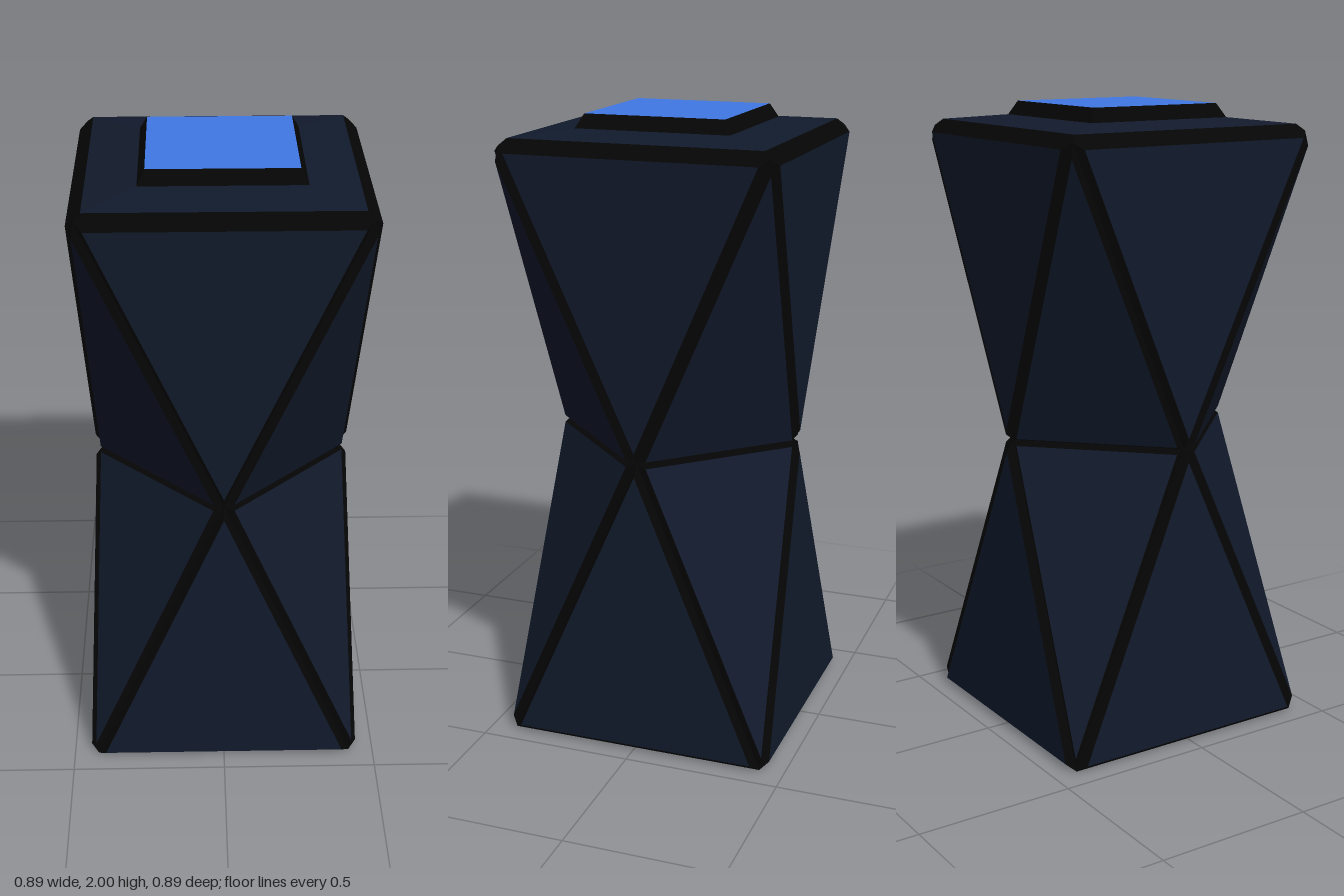
import * as THREE from 'three';

const panelMat = new THREE.MeshStandardMaterial({ color: 0x111a2c, flatShading: true });
const trimMat = new THREE.MeshStandardMaterial({ color: 0x050505, flatShading: true });
const blueMat = new THREE.MeshStandardMaterial({ color: 0x4077e4 });

const INSET = 0.94; // size of a panel's outer face against its base
const LIFT = 0.025; // height of a panel above the frame

// Four points around the y axis; "turn" is the first angle
const ring = (radius, y, turn) => [0, 1, 2, 3].map((k) => {
  const a = turn + k * Math.PI / 2;
  return new THREE.Vector3(radius * Math.sin(a), y, radius * Math.cos(a));
});

function meshFromTriangles(name, points, mat) {
  const geo = new THREE.BufferGeometry().setFromPoints(points);
  geo.computeVertexNormals();
  const mesh = new THREE.Mesh(geo, mat);
  mesh.name = name;
  return mesh;
}

// Raised triangular panel: a smaller outer face with dark sloping sides
function panel(name, corners) {
  const tri = new THREE.Triangle(...corners);
  const normal = tri.getNormal(new THREE.Vector3());
  const centre = tri.getMidpoint(new THREE.Vector3());
  const outer = corners.map((c) => centre.clone().lerp(c, INSET).addScaledVector(normal, LIFT));
  const sides = [];
  for (let i = 0; i < 3; i++) {
    const j = (i + 1) % 3;
    sides.push(corners[i], corners[j], outer[j], corners[i], outer[j], outer[i]);
  }
  const group = new THREE.Group();
  group.name = name;
  group.add(meshFromTriangles('panelFace', outer, panelMat), meshFromTriangles('panelBevel', sides, trimMat));
  return group;
}

// Open square band with sloping sides, from half-width "bottom" to half-width "top"
function band(name, bottom, top, y0, y1, mat) {
  const geo = new THREE.CylinderGeometry(top * Math.SQRT2, bottom * Math.SQRT2, y1 - y0, 4, 1, true, Math.PI / 4);
  geo.translate(0, (y0 + y1) / 2, 0);
  const mesh = new THREE.Mesh(geo, mat);
  mesh.name = name;
  return mesh;
}

// Flat square facing up or down
function square(name, half, y, facing, mat) {
  const geo = new THREE.PlaneGeometry(half * 2, half * 2);
  geo.rotateX(-facing * Math.PI / 2);
  const mesh = new THREE.Mesh(geo, mat);
  mesh.name = name;
  mesh.position.y = y;
  return mesh;
}

export function createModel() {
  const model = new THREE.Group();
  model.name = 'facetedColumn';
  const base = ring(0.42 * Math.SQRT2, 0, Math.PI / 4);
  const waist = ring(0.385, 0.96, 0);
  const head = ring(0.42 * Math.SQRT2, 1.92, Math.PI / 4);

  // Sixteen panels: one wide and one corner triangle per side, below and above the waist
  for (let k = 0; k < 4; k++) {
    const prev = (k + 3) % 4, next = (k + 1) % 4;
    model.add(
      panel('lowerSidePanel', [base[prev], base[k], waist[k]]),
      panel('lowerCornerPanel', [base[k], waist[next], waist[k]]),
      panel('upperSidePanel', [waist[k], head[k], head[prev]]),
      panel('upperCornerPanel', [waist[k], waist[next], head[k]]),
    );
  }

  // Underside, shallow roof, dark frame and blue top plate
  model.add(
    square('underside', 0.42, 0, -1, panelMat),
    band('roofBevel', 0.42, 0.4, 1.92, 1.94, trimMat),
    band('roof', 0.4, 0.247, 1.94, 1.957, panelMat),
    band('topFrame', 0.247, 0.224, 1.957, 2, trimMat),
    square('topPlate', 0.224, 2, 1, blueMat),
  );
  return model;
}
